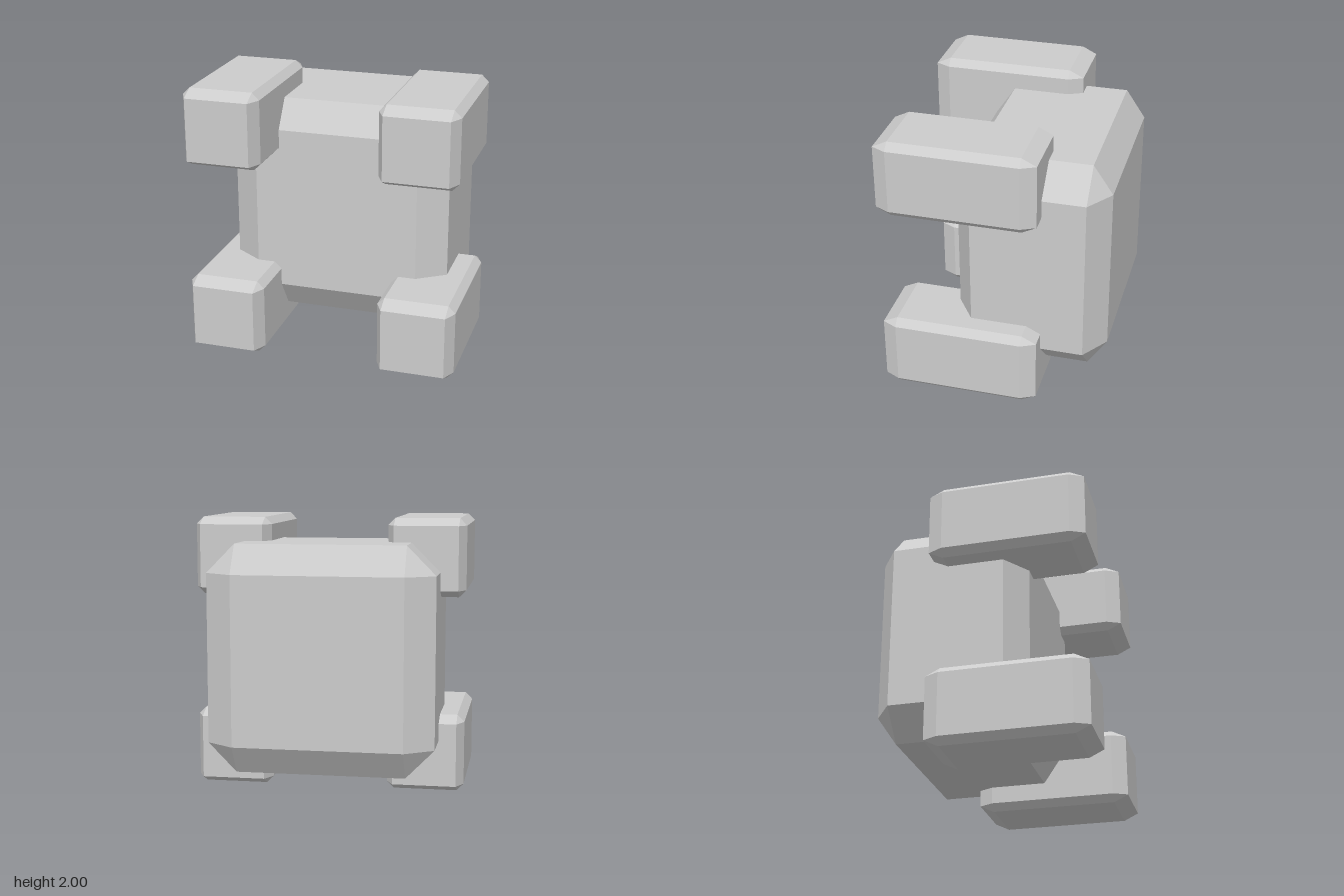
import * as THREE from 'three';
import { ConvexGeometry } from 'three/addons/geometries/ConvexGeometry.js';

const material = new THREE.MeshStandardMaterial({ color: 0xcccccc, flatShading: true });

// Box with every edge and corner cut flat; size and bevel are given per axis
function chamferBox(name, size, bevel, center) {
  const half = size.map((s) => s / 2);
  const points = [];
  for (const sx of [-1, 1]) for (const sy of [-1, 1]) for (const sz of [-1, 1]) {
    const sign = [sx, sy, sz];
    // Each corner becomes a triangle: one point on each of its three faces
    for (let face = 0; face < 3; face++) {
      points.push(new THREE.Vector3(
        ...sign.map((s, i) => s * (half[i] - (i === face ? 0 : bevel[i])))
      ));
    }
  }
  const mesh = new THREE.Mesh(new ConvexGeometry(points), material);
  mesh.name = name;
  mesh.position.set(...center);
  return mesh;
}

export function createModel() {
  const model = new THREE.Group();
  model.name = 'blockWithFourPegs';

  // Main body
  model.add(chamferBox('body', [1.64, 1.65, 1.11], [0.207, 0.21, 0.142], [0, 1.003, -0.242]));

  // Four pegs pointing forward from the corners
  for (const [side, x] of [['Left', 0.715], ['Right', -0.715]]) {
    for (const [level, y] of [['upper', 1.716], ['lower', 0.284]]) {
      model.add(chamferBox(`${level}${side}Peg`, [0.57, 0.568, 1.142], [0.052, 0.052, 0.106], [x, y, 0.226]));
    }
  }
  return model;
}
